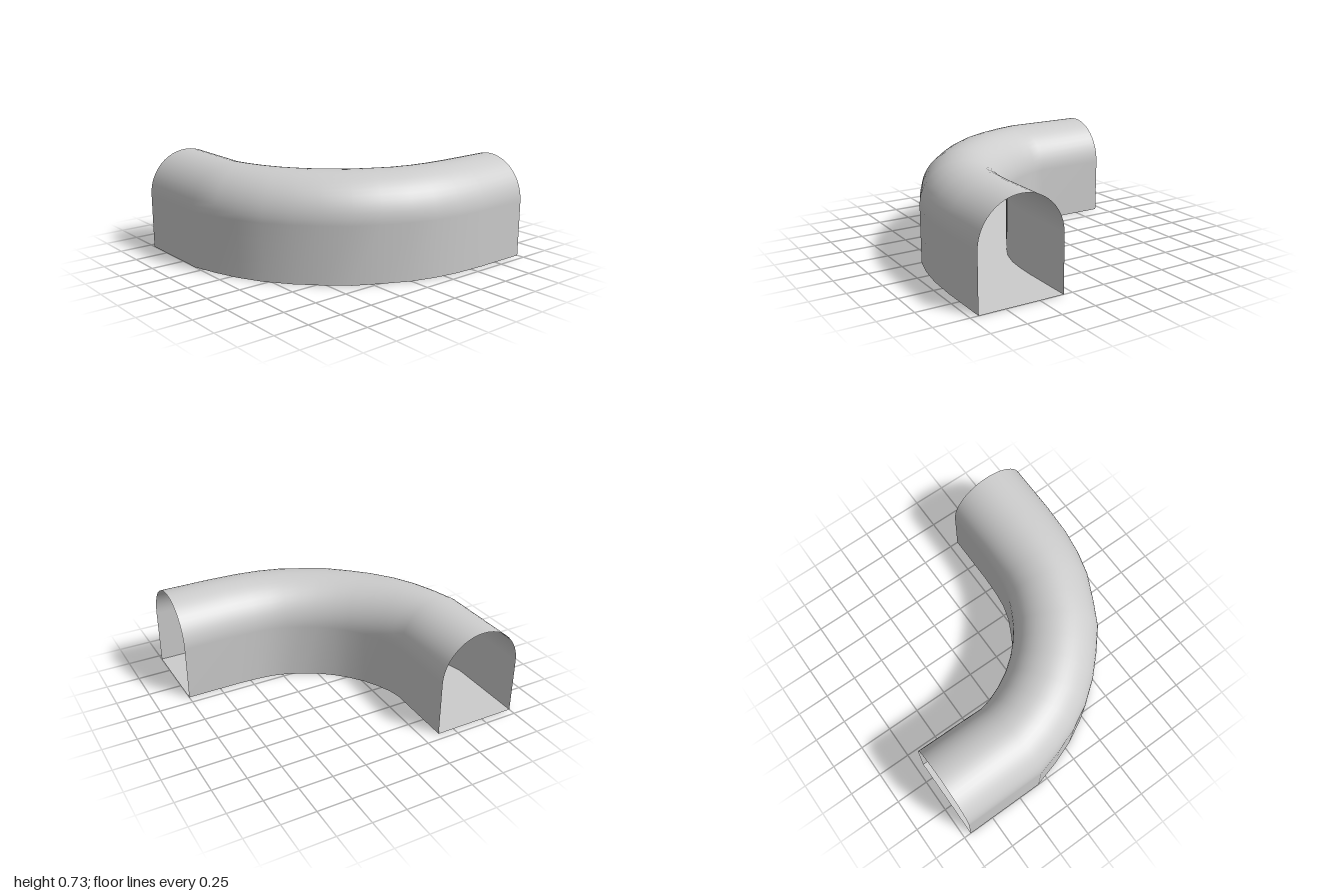
import * as THREE from 'three';

// Plan of the bend: [inner x, inner z, outer x, outer z] per cross-section
const PLAN = [
  [-0.375, -0.945, -1, -0.945],
  [-0.38, -0.41, -1, -0.33],
  [-0.36, -0.32, -0.945, -0.13],
  [-0.32, -0.22, -0.88, 0.05],
  [-0.26, -0.11, -0.79, 0.22],
  [-0.175, 0.0, -0.66, 0.39],
  [-0.1, 0.075, -0.53, 0.52],
  [0.0, 0.155, -0.37, 0.66],
  [0.1, 0.21, -0.195, 0.755],
  [0.2, 0.26, 0.0, 0.85],
  [0.32, 0.295, 0.18, 0.9],
  [0.44, 0.31, 0.37, 0.93],
  [0.6, 0.318, 0.6, 0.942],
  [1, 0.318, 1, 0.942],
];
const SPRING = 0.415; // height where the arch begins
const RISE = 0.312;   // arch height above the walls

// Sweeps a profile of [across 0..1 (inner to outer), height] along the plan
function sweep(profile) {
  const positions = [], indices = [], n = profile.length;
  for (const [ix, iz, ox, oz] of PLAN) {
    for (const [t, y] of profile) {
      positions.push(ix + (ox - ix) * t, y, iz + (oz - iz) * t);
    }
  }
  for (let i = 0; i < PLAN.length - 1; i++) {
    for (let j = 0; j < n - 1; j++) {
      const a = i * n + j, b = a + n;
      indices.push(a, a + 1, b, a + 1, b + 1, b);
    }
  }
  const geometry = new THREE.BufferGeometry();
  geometry.setAttribute('position', new THREE.Float32BufferAttribute(positions, 3));
  geometry.setIndex(indices);
  geometry.computeVertexNormals();
  return geometry;
}

export function createModel() {
  const group = new THREE.Group();
  group.name = 'curvedTunnel';
  const grey = new THREE.MeshStandardMaterial({ color: 0xcccccc, side: THREE.DoubleSide });
  grey.name = 'light grey';

  // Walls and rounded roof as one smooth open shell
  const arch = [[0, 0]];
  const steps = 24;
  for (let k = 0; k <= steps; k++) {
    const a = (Math.PI * k) / steps;
    arch.push([0.5 - 0.5 * Math.cos(a), SPRING + RISE * Math.sin(a)]);
  }
  arch.push([1, 0]);
  const vault = new THREE.Mesh(sweep(arch), grey);
  vault.name = 'vault';

  // Flat floor, running from outer to inner edge so that it faces down
  const floor = new THREE.Mesh(sweep([[1, 0], [0, 0]]), grey);
  floor.name = 'floor';

  group.add(vault, floor);
  return group;
}
